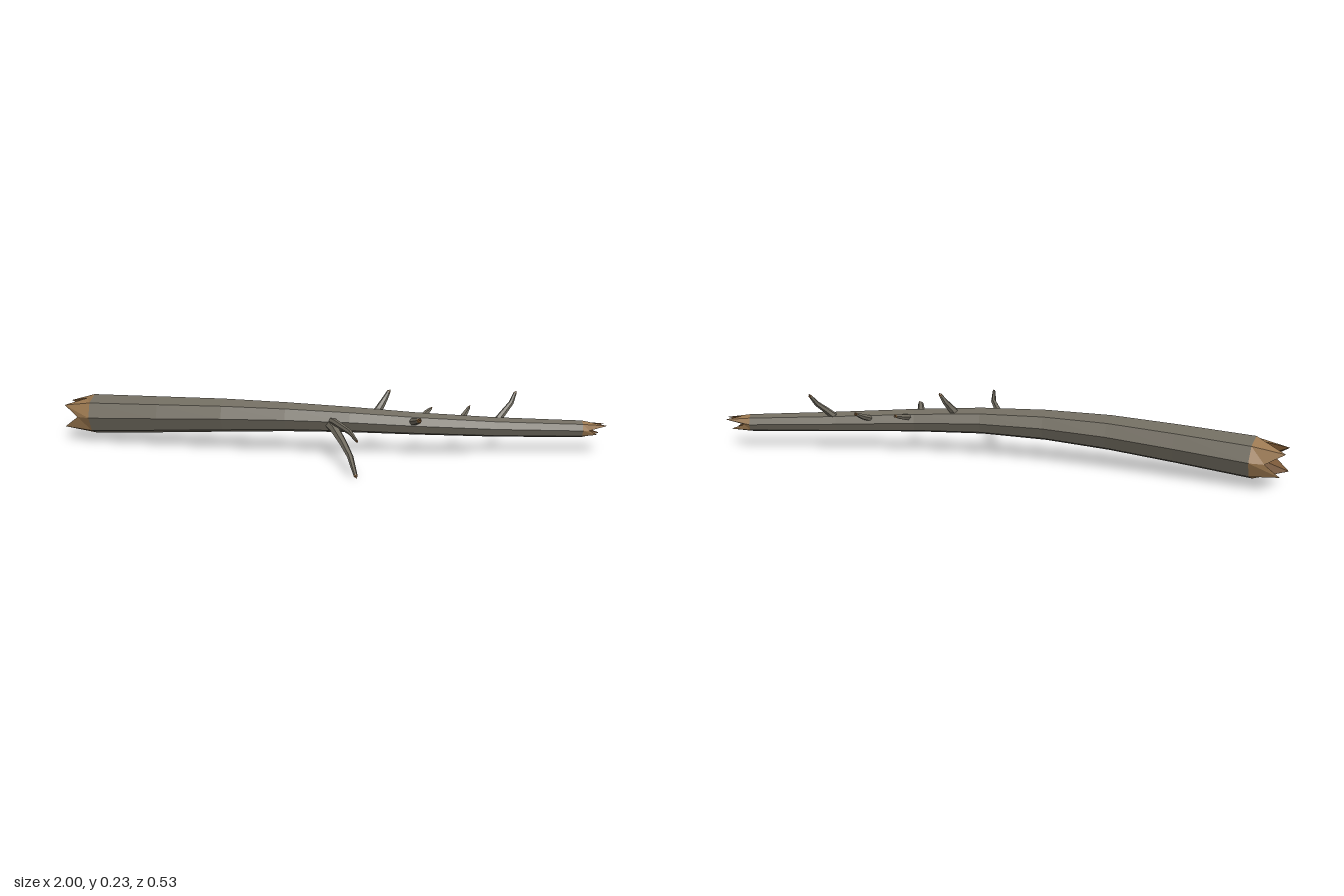
import * as THREE from 'three';

const bark = new THREE.MeshStandardMaterial({ color: 0x716c60, flatShading: true });
bark.name = 'bark';
const splinterWood = new THREE.MeshStandardMaterial({ color: 0x9a774f, flatShading: true });
splinterWood.name = 'splinter wood';
const heartwood = new THREE.MeshStandardMaterial({ color: 0x75522f, flatShading: true });
heartwood.name = 'heartwood';

const X = new THREE.Vector3(1, 0, 0);
const Y = new THREE.Vector3(0, 1, 0);

// A mesh from a list of triangles (three Vector3 each)
function meshFrom(name, corners, material) {
  const geometry = new THREE.BufferGeometry().setFromPoints(corners);
  geometry.computeVertexNormals();
  const mesh = new THREE.Mesh(geometry, material);
  mesh.name = name;
  return mesh;
}

// Ring of points around a centre, square to the direction t;
// radius and forward shift may differ for every point
function ring(center, t, ref, sides, radius, shift = () => 0) {
  const v = ref.clone().addScaledVector(t, -ref.dot(t)).normalize();
  const w = new THREE.Vector3().crossVectors(t, v);
  return Array.from({ length: sides }, (_, j) => {
    const a = (j / sides) * Math.PI * 2;
    return center.clone()
      .addScaledVector(v, Math.cos(a) * radius(j))
      .addScaledVector(w, Math.sin(a) * radius(j))
      .addScaledVector(t, shift(j));
  });
}

// Triangles joining two rings
function band(a, b) {
  return a.flatMap((p, j) => {
    const k = (j + 1) % a.length;
    return [p, a[k], b[k], p, b[k], b[j]];
  });
}

// Jagged broken end: a zigzag crown with a hollow core
function brokenEnd(name, center, t, ref, sides, r, lengths) {
  const group = new THREE.Group();
  group.name = name;
  const base = ring(center, t, ref, sides, () => r);
  const crown = ring(center, t, ref, sides,
    (j) => r * (j % 2 ? 0.78 : 0.8), (j) => lengths[j % lengths.length]);
  const core = center.clone().addScaledVector(t, lengths[0] * 0.2);
  const hollow = crown.flatMap((p, j) => [p, crown[(j + 1) % sides], core]);
  group.add(meshFrom('splinters', band(base, crown), splinterWood));
  group.add(meshFrom('hollowCore', hollow, heartwood));
  return group;
}

// Tapered faceted limb through [x, y, z, radius] stations
function limb(name, stations, sides, ref, endLengths, startLengths) {
  const group = new THREE.Group();
  group.name = name;
  const pts = stations.map(([x, y, z]) => new THREE.Vector3(x, y, z));
  const last = pts.length - 1;
  const dirs = pts.map((_, i) =>
    pts[Math.min(i + 1, last)].clone().sub(pts[Math.max(i - 1, 0)]).normalize());
  const rings = pts.map((p, i) => ring(p, dirs[i], ref, sides, () => stations[i][3]));
  const skin = rings.slice(1).flatMap((b, i) => band(rings[i], b));
  group.add(meshFrom('bark', skin, bark));
  group.add(brokenEnd('brokenTip', pts[last], dirs[last], ref, sides, stations[last][3], endLengths));
  if (startLengths) {
    group.add(brokenEnd('brokenButt', pts[0], dirs[0].clone().negate(), ref, sides,
      stations[0][3], startLengths));
  }
  return group;
}

export function createModel() {
  const model = new THREE.Group();
  model.name = 'fallenLog';

  // Bowed trunk, thick at -x, splintered at both ends
  model.add(limb('trunk', [
    [-0.88, 0.1, -0.193, 0.074],
    [-0.62, 0.114, -0.15, 0.068],
    [-0.38, 0.126, -0.116, 0.062],
    [-0.15, 0.131, -0.097, 0.054],
    [0.08, 0.128, -0.092, 0.047],
    [0.32, 0.116, -0.106, 0.041],
    [0.6, 0.101, -0.144, 0.036],
    [0.91, 0.089, -0.196, 0.031],
  ], 8, Y,
  [0.03, 0.09, 0.025, 0.055, 0.03, 0.07, 0.02, 0.088],
  [0.03, 0.113, 0.05, 0.1, 0.035, 0.11, 0.05, 0.106]));

  // Branches: name and stations, rooted inside the trunk
  const branches = [
    ['longFrontBranch', [[0.0, 0.128, -0.08, 0.013], [0.03, 0.133, -0.03, 0.012],
      [0.065, 0.136, 0.05, 0.011], [0.1, 0.139, 0.13, 0.009], [0.133, 0.143, 0.255, 0.005]]],
    ['droopingFrontBranch', [[0.0, 0.122, -0.08, 0.021], [0.03, 0.107, -0.03, 0.018],
      [0.068, 0.079, 0.05, 0.014], [0.1, 0.05, 0.125, 0.011], [0.127, 0.01, 0.22, 0.007]]],
    ['tallTopBranch', [[0.165, 0.14, -0.1, 0.016], [0.19, 0.178, -0.12, 0.013],
      [0.203, 0.2, -0.135, 0.01], [0.214, 0.222, -0.143, 0.007]]],
    ['outerTopBranch', [[0.6, 0.115, -0.15, 0.014], [0.632, 0.152, -0.178, 0.011],
      [0.655, 0.178, -0.2, 0.009], [0.668, 0.208, -0.222, 0.006]]],
    ['innerBackStub', [[0.33, 0.13, -0.12, 0.012], [0.35, 0.142, -0.165, 0.01],
      [0.364, 0.15, -0.19, 0.006]]],
    ['outerBackStub', [[0.465, 0.115, -0.13, 0.012], [0.49, 0.138, -0.185, 0.01],
      [0.502, 0.153, -0.213, 0.006]]],
    ['frontStub', [[0.3, 0.125, -0.09, 0.016], [0.318, 0.138, -0.05, 0.013],
      [0.331, 0.15, -0.014, 0.01]]],
  ];
  for (const [name, stations] of branches) {
    model.add(limb(name, stations, 6, X, [0.003, 0.011, 0.003, 0.007]));
  }
  return model;
}
